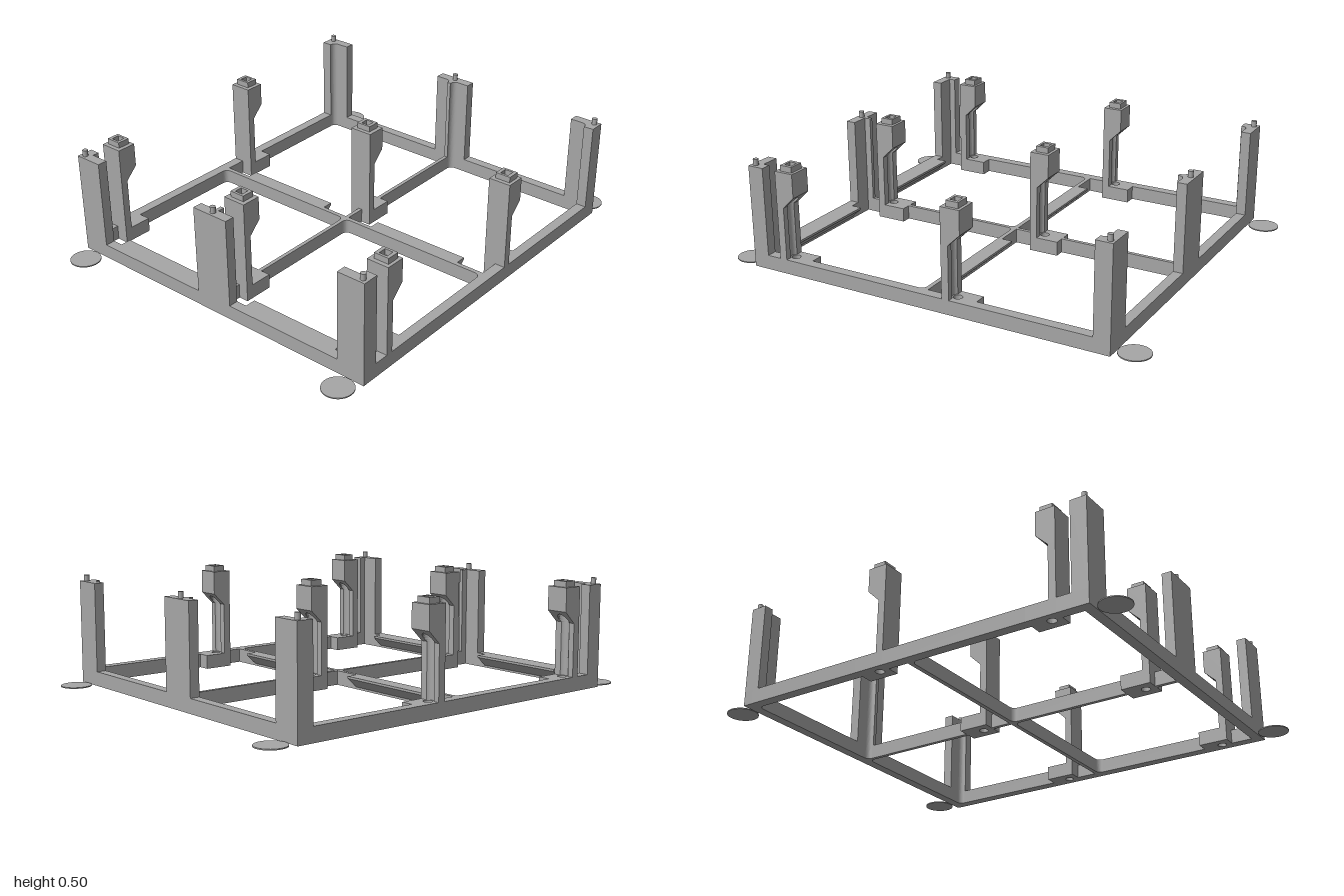
import * as THREE from 'three';

const RAIL = 0.065, POST = 0.467;       // heights of the rails and posts
const OX = 0.797, IX = 0.75;            // outer and inner faces of the side rails
const OZ = 0.86, IZ = 0.815;            // outer and inner faces of the end rails

export function createModel() {
  const model = new THREE.Group();
  const grey = new THREE.MeshStandardMaterial({ color: 0xa6a6a6 });
  grey.name = 'grey plastic';

  const add = (name, geometry, parent = model) => {
    const mesh = new THREE.Mesh(geometry, grey);
    mesh.name = name;
    parent.add(mesh);
    return mesh;
  };
  const box = (name, x0, x1, y0, y1, z0, z1, parent) => {
    const g = new THREE.BoxGeometry(x1 - x0, y1 - y0, z1 - z0);
    g.translate((x0 + x1) / 2, (y0 + y1) / 2, (z0 + z1) / 2);
    return add(name, g, parent);
  };
  // Upright prism from a plan outline in (x, z)
  const prism = (shape, y0, y1) => {
    const g = new THREE.ExtrudeGeometry(shape, { depth: y1 - y0, bevelEnabled: false, curveSegments: 10 });
    return g.rotateX(-Math.PI / 2).translate(0, y0, 0);
  };
  const plan = (pts) => new THREE.Shape(pts.map(([x, z]) => new THREE.Vector2(x, -z)));
  const rect = (x0, x1, z0, z1) => plan([[x0, z0], [x0, z1], [x1, z1], [x1, z0]]);
  const roundHole = (r) => new THREE.Path().absarc(0, 0, r, 0, Math.PI * 2, true);

  // Support stations: z centre of each screw hole; feet interrupt the rails there
  const stations = [-0.153, 0.67];
  const FOOT = -0.09, BACK = 0.048, HEAD = -0.042, STEM = 0.014, HALF = 0.054;

  // Outer end rails and the thin cross rail
  box('backRail', -OX, OX, 0, RAIL, -OZ, -IZ);
  box('frontRail', -OX, OX, 0, RAIL, IZ, OZ);
  box('crossRail', -IX, IX, 0, RAIL, -0.01, 0.01);

  // Lengthwise rails, broken where the feet sit
  const cuts = [-IZ, ...stations.flatMap((z) => [z + FOOT, z + BACK]), IZ];
  for (const [name, x0, x1] of [['rightRail', -OX, -IX], ['middleRail', -0.009, 0.009], ['leftRail', IX, OX]]) {
    for (let i = 0; i < cuts.length; i += 2) box(name, x0, x1, 0, RAIL, cuts[i], cuts[i + 1]);
  }

  // Concave fillets at the rear corners of each bay
  const fillet = (x, z, dir, height) => {
    const r = 0.03, s = new THREE.Shape();
    s.moveTo(x, -z);
    s.lineTo(x + dir * r, -z);
    s.quadraticCurveTo(x, -z, x, -z - r);
    add('fillet', prism(s, 0, height));
  };
  for (const s of [-1, 1]) {
    fillet(s * IX, -IZ, -s, POST);
    fillet(s * 0.009, -IZ, s, POST);
    fillet(s * IX, 0.01, -s, RAIL);
    fillet(s * 0.009, 0.01, s, RAIL);
  }

  // Corner and middle posts with locating pins
  for (const e of [-1, 1]) {
    for (const s of [-1, 1]) {
      add('cornerPost', prism(plan([
        [s * OX, e * OZ], [s * 0.665, e * OZ], [s * 0.665, e * IZ],
        [s * IX, e * IZ], [s * IX, e * 0.785], [s * OX, e * 0.785],
      ]), RAIL, POST));
    }
    add('middlePost', prism(plan([
      [-0.09, e * OZ], [0.09, e * OZ], [0.09, e * IZ], [0.009, e * IZ],
      [0.009, e * 0.785], [-0.009, e * 0.785], [-0.009, e * IZ], [-0.09, e * IZ],
    ]), RAIL, POST));
    for (const x of [-0.773, 0, 0.773]) {
      add('locatingPin', new THREE.CylinderGeometry(0.012, 0.012, 0.03, 16))
        .position.set(x, POST + 0.013, e * 0.838);
    }
  }

  // Ledges with sloping undersides behind the front and cross rails
  for (const z of [-0.01, IZ]) {
    for (const x of [-0.617, 0.14]) {
      const s = new THREE.Shape([[0, 0.01], [0, RAIL], [0.05, RAIL], [0.05, 0.055]]
        .map(([a, b]) => new THREE.Vector2(a, b)));
      const g = new THREE.ExtrudeGeometry(s, { depth: 0.477, bevelEnabled: false });
      add('ledge', g.rotateY(Math.PI / 2).translate(x, 0, z));
    }
  }

  // Column: plan sections with a round channel that closes as the face slopes out
  const column = (xl, xr) => {
    const r = 0.026, n = 14;
    const section = (y, zf) => {
      const t0 = Math.asin(THREE.MathUtils.clamp(zf / r, -1, 1));
      const c = r * Math.cos(t0);
      const pts = [[xl, BACK], [xl, zf], [-c, zf]];
      for (let i = 0; i <= n; i++) {
        const t = Math.PI - t0 + (2 * t0 - Math.PI) * (i / n);
        pts.push([r * Math.cos(t), r * Math.sin(t)]);
      }
      pts.push([c, zf], [xr, zf], [xr, BACK]);
      return pts.map(([x, z]) => [x, y, z]);
    };
    const rings = [section(RAIL, STEM)];
    for (let i = 0; i <= 8; i++) rings.push(section(0.305 + 0.055 * i / 8, STEM + (HEAD - STEM) * i / 8));
    const pos = [];
    for (let k = 0; k < rings.length - 1; k++) {
      const lo = rings[k], hi = rings[k + 1];
      for (let i = 0; i < lo.length; i++) {
        const j = (i + 1) % lo.length;
        pos.push(...lo[i], ...hi[j], ...lo[j], ...lo[i], ...hi[i], ...hi[j]);
      }
    }
    const g = new THREE.BufferGeometry();
    g.setAttribute('position', new THREE.Float32BufferAttribute(pos, 3));
    g.computeVertexNormals();
    return g;
  };

  // Supports: foot, channelled column, overhanging head and square collar
  for (const z of stations) {
    for (const x of [-0.748, 0, 0.748]) {
      const support = new THREE.Group();
      support.name = 'support';
      support.position.set(x, 0, z);
      const xl = Math.max(-HALF, -OX - x), xr = Math.min(HALF, OX - x);

      const foot = rect(xl, xr, FOOT, BACK);
      foot.holes.push(roundHole(0.02));
      add('foot', prism(foot, 0, RAIL), support);

      add('column', column(xl, xr), support);

      const head = rect(xl, xr, HEAD, BACK);
      head.holes.push(roundHole(0.015));
      add('head', prism(head, 0.36, POST), support);

      const collar = rect(-0.035, 0.035, -0.029, 0.029);
      collar.holes.push(rect(-0.019, 0.019, -0.018, 0.018));
      add('collar', prism(collar, POST, 0.493), support);
      model.add(support);
    }
  }

  // Thin round pads outside the corners
  for (const sx of [-1, 1]) {
    for (const sz of [-1, 1]) {
      add('cornerPad', new THREE.CylinderGeometry(0.068, 0.068, 0.005, 40))
        .position.set(sx * 0.728, 0.0025, sz * 0.932);
    }
  }
  return model;
}
